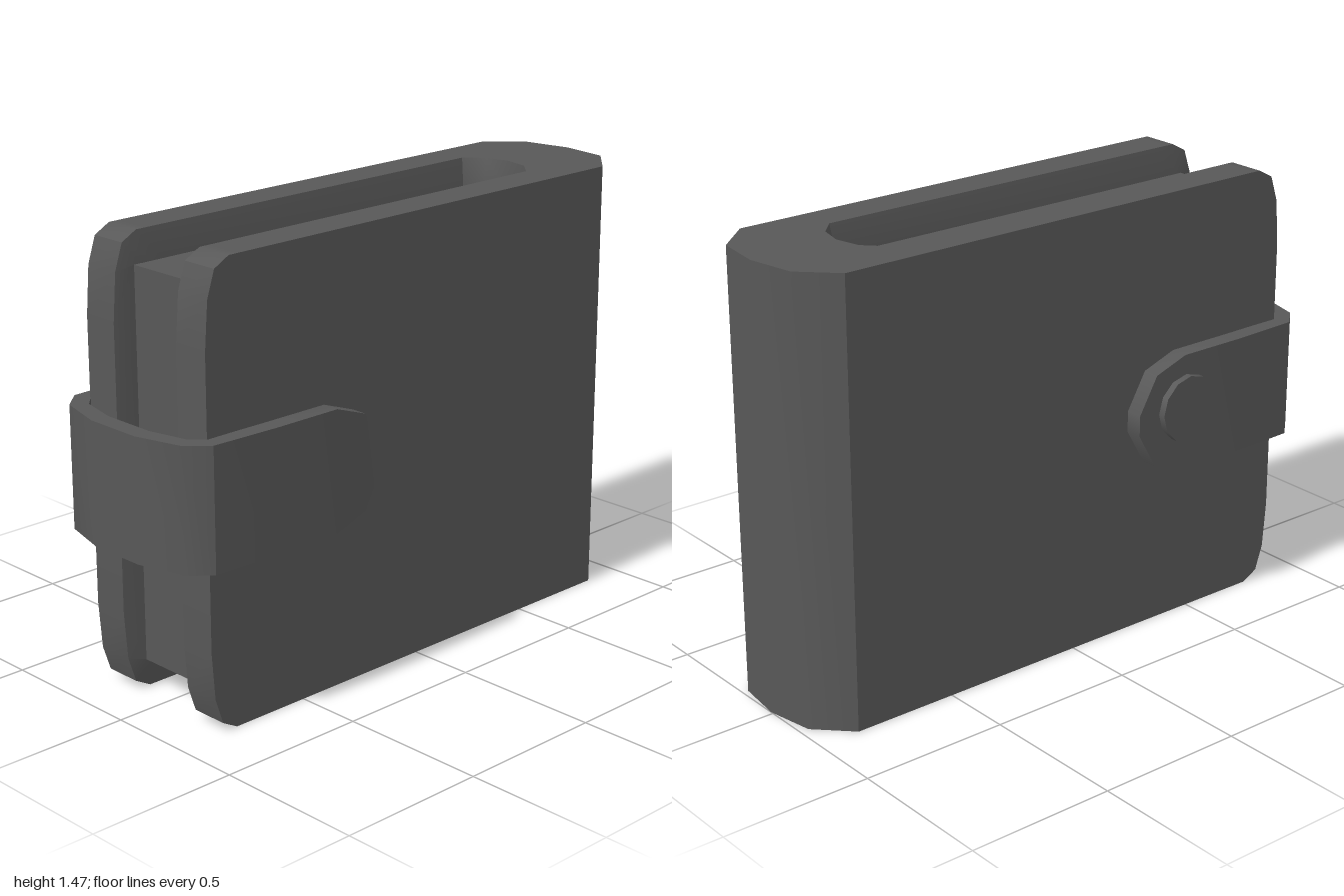
import * as THREE from 'three';
import { toCreasedNormals } from 'three/addons/utils/BufferGeometryUtils.js';

const H = 1.473;     // total height
const CX = 0.01;     // centre line of the body in x
const CREASE = THREE.MathUtils.degToRad(38);

// Skin closed rings of [x, y, z] points; capQuads close the two ends.
function loft(rings, capQuads) {
  const pos = [];
  const quad = (a, b, c, d) => pos.push(...a, ...b, ...c, ...a, ...c, ...d);
  const n = rings[0].length;
  for (let i = 0; i < rings.length - 1; i++) {
    for (let k = 0; k < n; k++) {
      const m = (k + 1) % n;
      quad(rings[i][k], rings[i][m], rings[i + 1][m], rings[i + 1][k]);
    }
  }
  const first = rings[0], last = rings[rings.length - 1];
  for (const [a, b, c, d] of capQuads) {
    quad(first[d], first[c], first[b], first[a]);
    quad(last[a], last[b], last[c], last[d]);
  }
  const geo = new THREE.BufferGeometry();
  geo.setAttribute('position', new THREE.Float32BufferAttribute(pos, 3));
  return toCreasedNormals(geo, CREASE);
}

// The same rings on the other side, in reverse order
const mirrorX = rings =>
  [...rings].reverse().map(r => r.map(([x, y, z]) => [-x, y, z]));

export function createModel() {
  const model = new THREE.Group();
  model.name = 'wallet';
  const mat = new THREE.MeshStandardMaterial({ color: 0x585858 });
  const add = (geo, name, x = 0, y = 0, z = 0) => {
    const mesh = new THREE.Mesh(geo, mat);
    mesh.name = name;
    mesh.position.set(x, y, z);
    model.add(mesh);
  };

  // Folded cover: [outer x, outer z, rim x, rim z, inner x, inner z, corner cut in y]
  const coverRing = ([ox, oz, rx, rz, ix, iz, cut]) => [
    [ox, cut, oz], [ox, H - cut, oz],
    [rx, H - cut, rz], [ix, H - 0.1, iz],
    [ix, 0.1, iz], [rx, cut, rz],
  ];
  const panel = [
    [-0.27, 0.87, -0.143, 0.87, -0.126, 0.80, 0.27],
    [-0.27, 0.858, -0.143, 0.858, -0.126, 0.797, 0.115],
    [-0.27, 0.83, -0.143, 0.83, -0.126, 0.77, 0.03],
    [-0.27, 0.775, -0.143, 0.775, -0.126, 0.72, 0],
    [-0.27, 0.74, -0.143, 0.74, -0.126, 0.69, 0],
    [-0.27, -0.86, -0.143, -0.625, -0.126, -0.615, 0],
  ].map(coverRing);
  const spine = [
    [-0.16, -0.97, -0.085, -0.68, -0.075, -0.667, 0],
    [0, -1, 0, -0.70, 0, -0.685, 0],
    [0.16, -0.98, 0.085, -0.68, 0.075, -0.667, 0],
  ].map(coverRing);
  add(loft([...panel, ...spine, ...mirrorX(panel)], [[0, 1, 2, 5], [2, 3, 4, 5]]), 'cover', CX);

  // Inner block, recessed between the covers
  const half = [[-0.127, 0.80], [-0.127, -0.616], [-0.076, -0.668]];
  const outline = [...half, [0, -0.686], ...[...half].reverse().map(([x, z]) => [-x, z])];
  const pages = new THREE.ExtrudeGeometry(
    new THREE.Shape(outline.map(([x, z]) => new THREE.Vector2(x, -z))),
    { depth: H - 0.2, bevelEnabled: false });
  pages.rotateX(-Math.PI / 2);
  add(pages, 'innerPages', CX, 0.1, 0);

  // Strap round the front: [outer x, outer z, inner x, inner z, half height]
  const strapHalf = [
    [0.33, 0.22, 0.272, 0.22, 0.035],
    [0.33, 0.29, 0.272, 0.29, 0.157],
    [0.332, 0.41, 0.273, 0.41, 0.2],
    [0.332, 0.65, 0.272, 0.65, 0.2],
    [0.322, 0.89, 0.268, 0.87, 0.2],
    [0.26, 0.957, 0.225, 0.91, 0.2],
    [0.1, 1, 0.095, 0.94, 0.2],
  ].map(([ox, oz, ix, iz, h]) => [
    [ox, -h, oz], [ox, h, oz], [ix, h, iz], [ix, -h, iz],
  ]);
  add(loft([...strapHalf, ...mirrorX(strapHalf)], [[0, 1, 2, 3]]), 'strap', CX, 0.743, 0);

  // Snap button on the strap's right end
  const button = new THREE.CylinderGeometry(0.113, 0.113, 0.04, 12);
  button.rotateZ(Math.PI / 2);
  add(button, 'snapButton', -0.325, 0.763, 0.415);

  return model;
}
